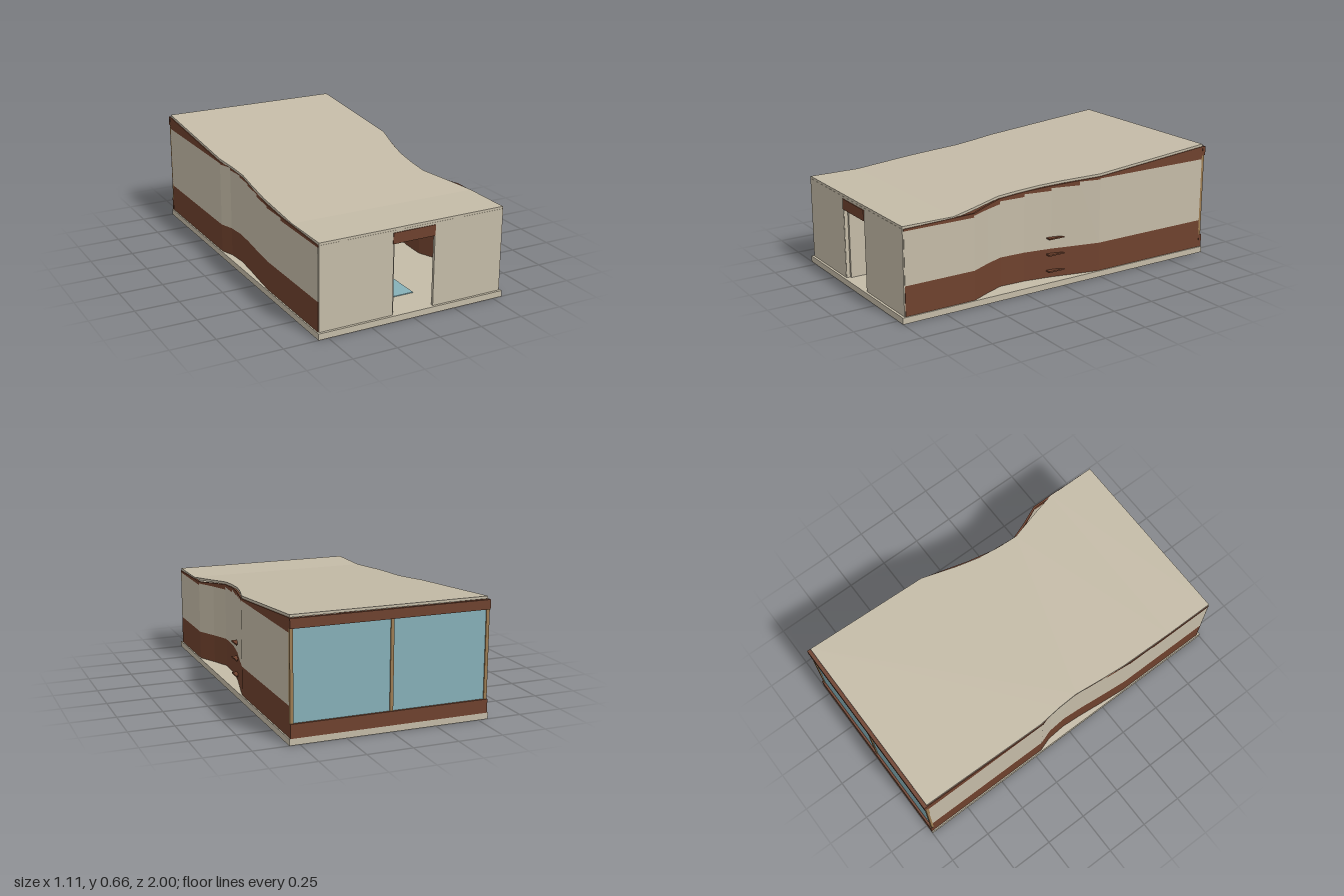
import * as THREE from 'three';

const material = (name, color) => {
  const m = new THREE.MeshStandardMaterial({ color, side: THREE.DoubleSide });
  m.name = name;
  return m;
};

// Height of the roof surface: flat at the front, rising to the back
const roofTop = (z) => (z > 0.69 ? 0.515 : 0.515 + ((0.69 - z) / 1.67) * 0.145);
const ROOF = 0.014;

// Wall plans, as [x, z, top of the plaster up to the next point]
const leftWallPlan = [
  [0.549, 0.98, 0.49], [0.549, 0.57, 0.5], [0.495, 0.455, 0.5], [0.453, 0.35, 0.515],
  [0.458, 0.2, 0.53], [0.484, 0.04, 0.545], [0.522, -0.12, 0.565], [0.549, -0.24, 0.571], [0.549, -0.98, 0],
];
const rightWallPlan = [
  [-0.549, 0.98, 0.49], [-0.549, 0.57, 0.505], [-0.549, 0.4, 0.515], [-0.536, 0.25, 0.53], [-0.521, 0.1, 0.54],
  [-0.513, -0.02, 0.55], [-0.522, -0.13, 0.565], [-0.549, -0.21, 0.571], [-0.549, -0.98, 0],
];

export function createModel() {
  const house = new THREE.Group();
  house.name = 'house';
  const plaster = material('plaster', 0xc4bba7);
  const wood = material('darkWood', 0x6e412d);
  const glass = material('glass', 0x86b0b8);
  const frame = material('paleTimber', 0x9c7c52);

  const add = (name, geometry, mat) => {
    const mesh = new THREE.Mesh(geometry, mat);
    mesh.name = name;
    house.add(mesh);
    return mesh;
  };

  // Box given by its lower and upper limits
  const box = (name, mat, x0, x1, y0, y1, z0, z1) => {
    const g = new THREE.BoxGeometry(x1 - x0, y1 - y0, z1 - z0);
    add(name, g.translate((x0 + x1) / 2, (y0 + y1) / 2, (z0 + z1) / 2), mat);
  };

  // Horizontal plate cut from a plan of [x, z] points
  const plate = (name, mat, plan, thickness, heightAt) => {
    const shape = new THREE.Shape(plan.map(([x, z]) => new THREE.Vector2(x, -z)));
    const g = new THREE.ExtrudeGeometry(shape, { depth: thickness, bevelEnabled: false });
    g.rotateX(-Math.PI / 2);
    const p = g.attributes.position;
    for (let i = 0; i < p.count; i++) p.setY(i, p.getY(i) + heightAt(p.getZ(i)) - thickness);
    g.computeVertexNormals();
    add(name, g, mat);
  };

  // Straight wall piece between two plan points, with sloping lower and upper edges
  const wallPiece = (name, mat, a, b, low, high) => {
    const length = Math.hypot(b[0] - a[0], b[1] - a[1]);
    const inward = -Math.sign(a[0]) * 0.012;
    const g = new THREE.BoxGeometry(length, 1, 0.012).toNonIndexed();
    const p = g.attributes.position;
    for (let i = 0; i < p.count; i++) {
      const t = p.getX(i) / length + 0.5;
      const x = a[0] + (b[0] - a[0]) * t;
      const z = a[1] + (b[1] - a[1]) * t;
      const inside = p.getZ(i) * Math.sign(a[0]) > 0;
      p.setXYZ(i, x + (inside ? inward : 0), p.getY(i) > 0 ? high(z) : low(z), z);
    }
    // Keep the faces turned outward
    const n = p.count;
    for (let i = 0; i < n; i += 3) {
      const v = [1, 2].map((k) => new THREE.Vector3().fromBufferAttribute(p, i + k));
      p.setXYZ(i + 1, ...v[1].toArray());
      p.setXYZ(i + 2, ...v[0].toArray());
    }
    if (a[0] < 0) mirrorWinding(p);
    g.computeVertexNormals();
    add(name, g, mat);
  };
  const mirrorWinding = (p) => {
    for (let i = 0; i < p.count; i += 3) {
      const v = [1, 2].map((k) => new THREE.Vector3().fromBufferAttribute(p, i + k));
      p.setXYZ(i + 1, ...v[1].toArray());
      p.setXYZ(i + 2, ...v[0].toArray());
    }
  };

  // Ground slab
  box('groundSlab', plaster, -0.556, 0.556, 0, 0.035, -1, 1);

  // Curved side walls: wooden base, plaster band, wooden top with a stepped lower edge
  for (const [side, plan] of [['left', leftWallPlan], ['right', rightWallPlan]]) {
    for (let i = 0; i < plan.length - 1; i++) {
      const a = plan[i], b = plan[i + 1], top = a[2];
      wallPiece(side + 'WallBase', wood, a, b, () => 0.035, () => 0.2);
      wallPiece(side + 'WallPlaster', plaster, a, b, () => 0.2, () => top);
      wallPiece(side + 'WallTop', wood, a, b, () => top, (z) => Math.max(top, roofTop(z) - ROOF));
    }
  }

  // Triangular steps on the left wall
  for (const y of [0.079, 0.174, 0.268]) {
    plate('wallStep', wood, [[0.465, 0.067], [0.51, 0.067], [0.51, -0.033]], 0.008, () => y);
  }

  // Roof: flat front part and sloping waisted part
  plate('frontRoof', plaster, [[-0.544, 0.985], [0.544, 0.985], [0.544, 0.69], [-0.544, 0.69]], ROOF, roofTop);
  plate('slopingRoof', plaster, [
    [-0.544, 0.69], [0.544, 0.69], [0.51, 0.565], [0.447, 0.36], [0.449, 0.24], [0.461, 0.1], [0.49, -0.04],
    [0.544, -0.24], [0.544, -0.98], [-0.544, -0.98], [-0.544, -0.22], [-0.527, -0.08], [-0.52, 0.04],
    [-0.532, 0.18], [-0.544, 0.36],
  ], ROOF, roofTop);

  // Front wall with doorway
  for (const s of [-1, 1]) {
    const [x0, x1] = s < 0 ? [-0.546, -0.125] : [0.125, 0.546];
    box('frontWall', plaster, x0, x1, 0.035, 0.49, 0.97, 0.986);
  }
  box('frontLintel', plaster, -0.546, 0.546, 0.49, 0.502, 0.97, 0.986);
  box('doorHeader', wood, -0.125, 0.125, 0.43, 0.49, 0.97, 0.99);
  box('doorJamb', plaster, -0.125, -0.12, 0.035, 0.43, 0.95, 0.985);
  box('openDoor', plaster, -0.118, -0.104, 0.037, 0.43, 0.68, 0.965);
  box('floorPanel', glass, -0.07, 0.12, 0.035, 0.039, 0.55, 0.8);

  // Glazed back wall
  box('backSill', wood, -0.55, 0.55, 0.035, 0.11, -1, -0.98);
  box('backHeader', wood, -0.55, 0.55, 0.593, 0.645, -1, -0.98);
  box('backGlass', glass, -0.54, 0.54, 0.11, 0.593, -0.987, -0.981);
  for (const x of [-0.54, 0, 0.54]) {
    box('backMullion', frame, x - 0.009, x + 0.009, 0.11, 0.593, -0.993, -0.976);
  }
  return house;
}
